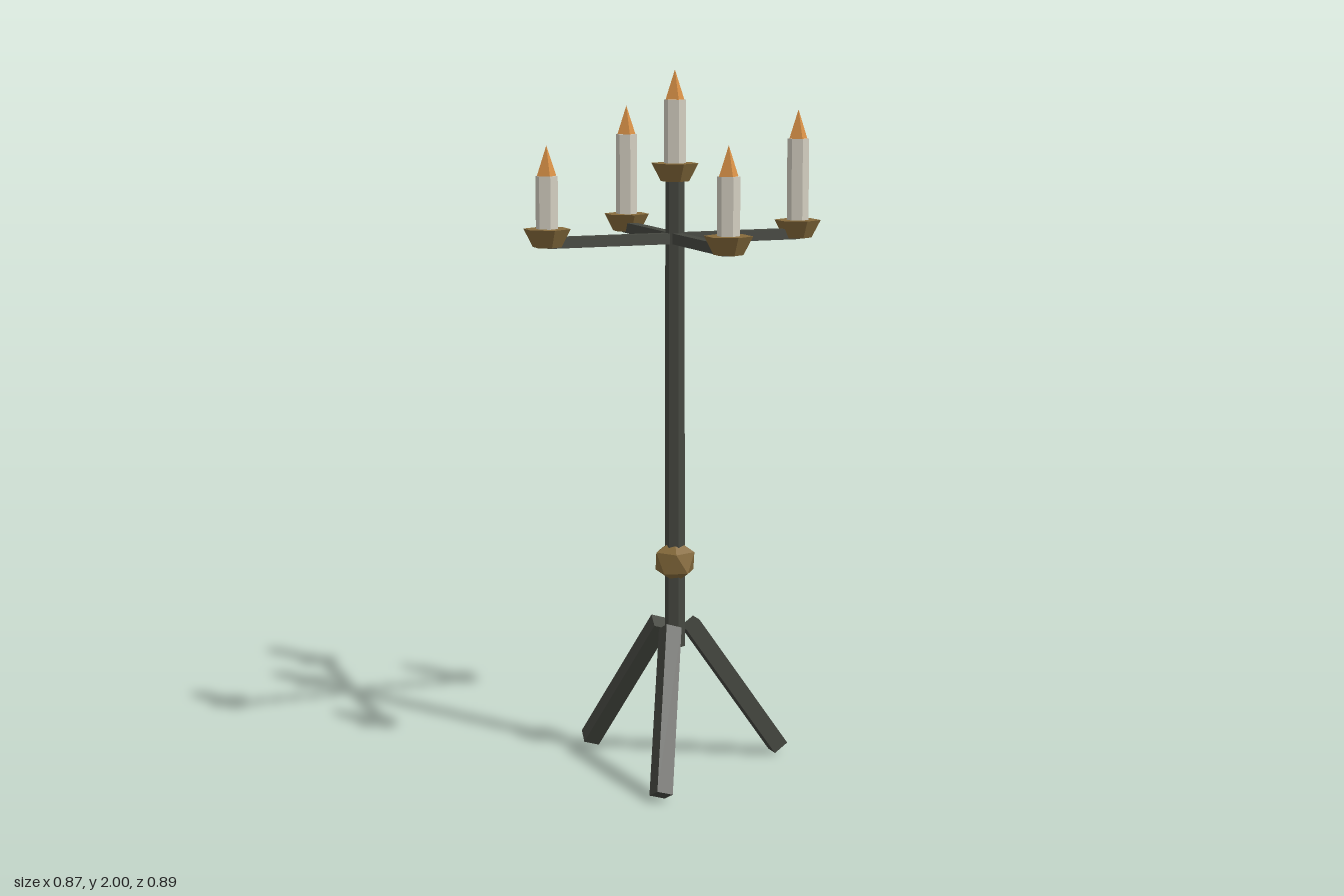
import * as THREE from 'three';

const material = (name, color) => {
  const m = new THREE.MeshStandardMaterial({ color, flatShading: true });
  m.name = name;
  return m;
};

export function createModel() {
  const iron = material('darkIron', 0x454740);
  const brass = material('brass', 0x866b3c);
  const wax = material('wax', 0xd2cdbf);
  const flame = material('flame', 0xdc9348);

  const model = new THREE.Group();
  model.name = 'candelabrum';
  const add = (name, geometry, mat, x, y, z, parent = model) => {
    const mesh = new THREE.Mesh(geometry, mat);
    mesh.name = name;
    mesh.position.set(x, y, z);
    parent.add(mesh);
    return mesh;
  };

  // Six-sided pole
  add('pole', new THREE.CylinderGeometry(0.027, 0.029, 1.34, 6), iron, 0, 1.03, 0);

  // Faceted knob, one vertex pointing up
  const knob = new THREE.IcosahedronGeometry(0.064, 0);
  knob.rotateZ(Math.atan(2 / (1 + Math.sqrt(5))));
  add('knob', knob, brass, 0, 0.61, 0);

  // Three splayed legs
  const splay = THREE.MathUtils.degToRad(35);
  for (let i = 0; i < 3; i++) {
    const a = (i * Math.PI * 2) / 3, c = Math.cos(a), s = Math.sin(a);
    const leg = add('leg', new THREE.BoxGeometry(0.048, 0.49, 0.048), iron, c * 0.187, 0.222, s * 0.187);
    leg.rotation.set(-s * splay, 0, c * splay, 'ZYX');
  }

  // Crossed arms
  add('armAcross', new THREE.BoxGeometry(0.756, 0.03, 0.03), iron, 0, 1.534, 0);
  add('armDeep', new THREE.BoxGeometry(0.03, 0.03, 0.756), iron, 0, 1.534, 0);

  // Drip pan, candle and flame at each holder: x, pan top, z, candle top
  const holders = [
    [0, 1.743, 0, 1.918],
    [0.377, 1.573, 0, 1.803],
    [-0.377, 1.573, 0, 1.717],
    [0, 1.573, 0.377, 1.73],
    [0, 1.573, -0.377, 1.805],
  ];
  const panHeight = 0.05, flameHeight = 0.082;
  for (const [x, panTop, z, candleTop] of holders) {
    const holder = new THREE.Group();
    holder.name = 'candleHolder';
    holder.position.set(x, 0, z);
    model.add(holder);
    const height = candleTop - panTop + 0.01;
    add('dripPan', new THREE.CylinderGeometry(0.066, 0.04, panHeight, 6), brass, 0, panTop - panHeight / 2, 0, holder);
    add('candle', new THREE.CylinderGeometry(0.031, 0.031, height, 6), wax, 0, candleTop - height / 2, 0, holder);
    add('flame', new THREE.ConeGeometry(0.028, flameHeight, 4), flame, 0, candleTop + flameHeight / 2, 0, holder);
  }
  return model;
}
